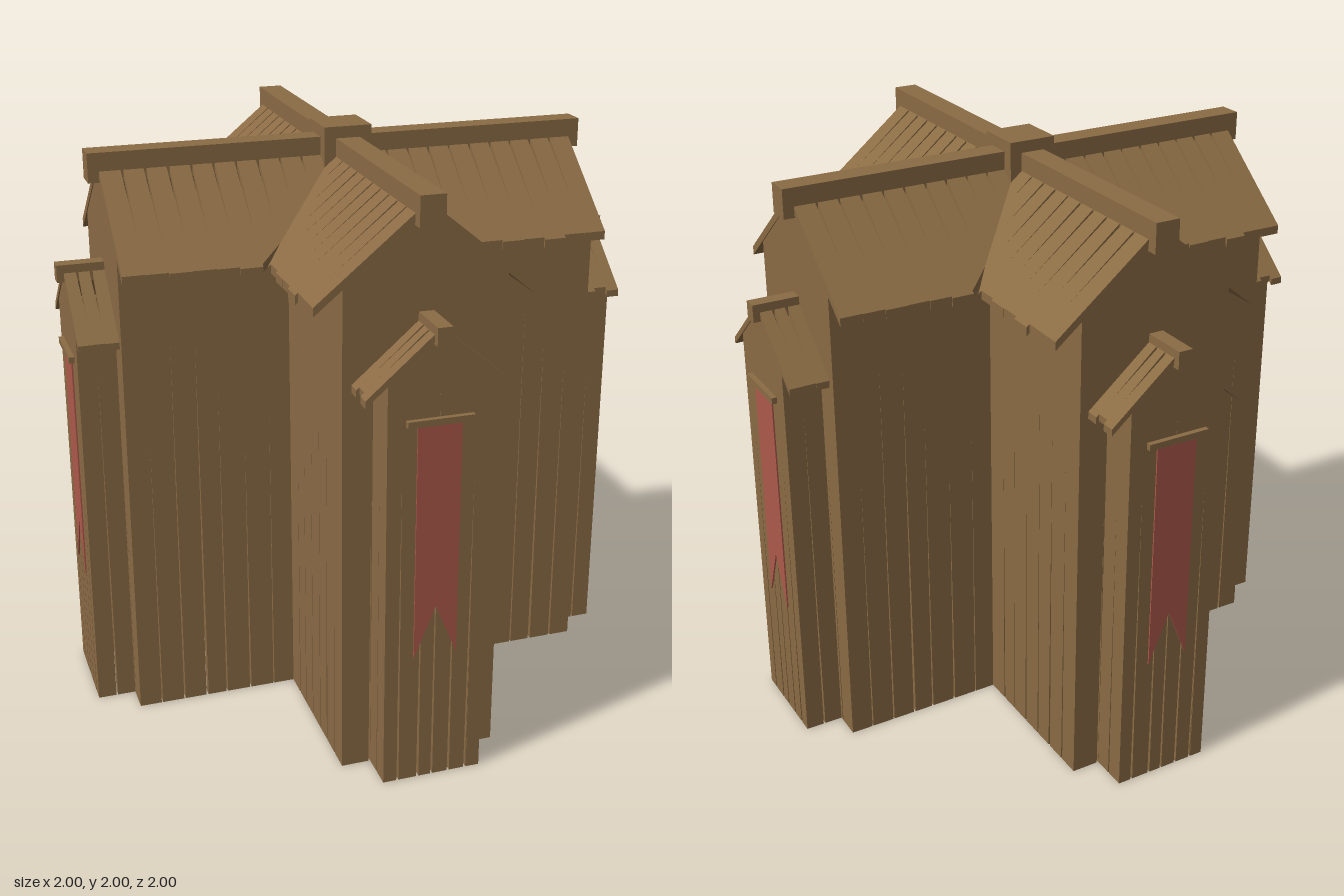
import * as THREE from 'three';
import { mergeGeometries } from 'three/addons/utils/BufferGeometryUtils.js';

const wood = new THREE.MeshStandardMaterial({ color: 0x8a6b44 });
wood.name = 'weathered wood';
const cloth = new THREE.MeshStandardMaterial({ color: 0xac594b, side: THREE.DoubleSide });
cloth.name = 'red cloth';

let seed = 7;
const rand = (a, b) => {
  seed = (seed * 16807) % 2147483647;
  return a + (b - a) * (seed / 2147483647);
};

function polygon(points, depth) {
  const shape = new THREE.Shape(points.map(([x, y]) => new THREE.Vector2(x, y)));
  return new THREE.ExtrudeGeometry(shape, { depth, bevelEnabled: false });
}

function addMesh(parent, name, geometry, material = wood) {
  const mesh = new THREE.Mesh(geometry, material);
  mesh.name = name;
  parent.add(mesh);
  return mesh;
}

function box(parent, name, w, h, d, x, y, z) {
  return addMesh(parent, name, new THREE.BoxGeometry(w, h, d).translate(x, y, z));
}

// Upright boards whose seams open into narrow cracks towards the ground
function boardWall(parent, name, x0, x1, count, top, z, angle = 0) {
  const step = (x1 - x0) / count;
  const seams = [];
  for (let i = 0; i <= count; i++) {
    const inner = i > 0 && i < count;
    const middle = inner && i * 2 === count;
    seams.push({
      x: x0 + i * step + (inner && !middle ? rand(-0.008, 0.008) : 0),
      gap: inner ? rand(0.002, 0.005) : 0,
      height: Math.min(rand(0.55, 0.93) * 1.55, top(x0 + i * step) - 0.05),
    });
  }
  const boards = [];
  for (let i = 0; i < count; i++) {
    const a = seams[i], b = seams[i + 1];
    boards.push(polygon([
      [a.x + a.gap, 0], [b.x - b.gap, 0], [b.x, b.height],
      [b.x, top(b.x)], [a.x, top(a.x)], [a.x, a.height],
    ], 0.03).translate(0, 0, z - 0.03));
  }
  addMesh(parent, name, mergeGeometries(boards)).rotation.y = angle;
}

// One roof slope: boards with slots near the ridge, mitred where two arms meet
function roofSlope(parent, name, side, u0, u1, count, roof) {
  const step = (u1 - u0) / count;
  const boards = [];
  for (let i = 0; i < count; i++) {
    const a = u0 + i * step, b = a + step;
    const reach = roof.eave + rand(-0.008, 0.006);
    const va = Math.min(reach, a), vb = Math.min(reach, b);
    const ga = i > 0 ? rand(0.004, 0.007) : 0;
    const gb = i < count - 1 ? rand(0.004, 0.007) : 0;
    const board = polygon([
      [a + ga, 0], [b - gb, 0], [b, vb * rand(0.65, 0.8)],
      [b, vb], [a, va], [a, va * rand(0.65, 0.8)],
    ].map(([u, v]) => [u, side * v]), roof.thick);
    // Tilt the flat board down from the ridge
    const p = board.attributes.position;
    for (let k = 0; k < p.count; k++) {
      const u = p.getX(k), v = p.getY(k), w = p.getZ(k);
      p.setXYZ(k, v, roof.ridge - roof.slope * Math.abs(v) - roof.thick + w, u);
    }
    board.computeVertexNormals();
    boards.push(board);
  }
  addMesh(parent, name, mergeGeometries(boards));
}

const mainRoof = { ridge: 1.932, slope: 0.82, thick: 0.03, eave: 0.368 };
const porchRoof = { ridge: 1.58, slope: 0.86, thick: 0.024, eave: 0.238 };
const under = (roof) => (x) => roof.ridge - roof.slope * Math.abs(x) - roof.thick;

function createArm() {
  const arm = new THREE.Group();
  const underMain = under(mainRoof), underPorch = under(porchRoof);
  const W = 0.27, P = 0.17, END = 0.84, FRONT = 0.972;

  // Walls of the arm and of its shallow porch
  boardWall(arm, 'gableWall', -W, W, 6, underMain, END);
  boardWall(arm, 'porchFront', -P, P, 6, underPorch, FRONT);
  boardWall(arm, 'leftWall', -END, -W, 7, () => underMain(W), W, Math.PI / 2);
  boardWall(arm, 'rightWall', W, END, 7, () => underMain(W), W, -Math.PI / 2);
  boardWall(arm, 'porchLeftWall', -FRONT, -END, 2, () => underPorch(P), P, Math.PI / 2);
  boardWall(arm, 'porchRightWall', END, FRONT, 2, () => underPorch(P), P, -Math.PI / 2);

  // Roofs
  for (const side of [-1, 1]) {
    roofSlope(arm, 'mainRoofSlope', side, 0.0, 0.843, 11, mainRoof);
    roofSlope(arm, 'porchRoofSlope', side, END, 0.976, 3, porchRoof);
    // Corner posts inside the walls
    box(arm, 'cornerPost', 0.06, 1.62, 0.06, side * (W - 0.032), 0.811, END - 0.032);
    box(arm, 'porchPost', 0.045, 1.38, 0.045, side * (P - 0.025), 0.691, FRONT - 0.025);
  }
  box(arm, 'innerPost', 0.06, 1.62, 0.06, W - 0.032, 0.811, W - 0.032);
  box(arm, 'ridgeBeam', 0.084, 0.1, 0.84, 0, 1.91, 0.46);
  box(arm, 'porchRidgeBeam', 0.05, 0.06, 0.16, 0, 1.557, 0.92);

  // Hanging swallow-tailed banner below a small rail
  box(arm, 'bannerRail', 0.22, 0.022, 0.018, 0, 1.28, FRONT + 0.009);
  addMesh(arm, 'banner', polygon([
    [-0.073, 1.27], [-0.073, 0.46], [0, 0.64], [0.073, 0.46], [0.073, 1.27],
  ], 0.005).translate(0, 0, FRONT + 0.001), cloth);
  return arm;
}

export function createModel() {
  const model = new THREE.Group();
  model.name = 'crossShapedTimberHall';
  const arm = createArm();
  ['frontArm', 'leftArm', 'backArm', 'rightArm'].forEach((name, i) => {
    const copy = arm.clone();
    copy.name = name;
    copy.rotation.y = (i * Math.PI) / 2;
    model.add(copy);
  });
  // Block where the four ridges meet
  box(model, 'ridgeBlock', 0.168, 0.14, 0.168, 0, 1.93, 0);
  return model;
}
